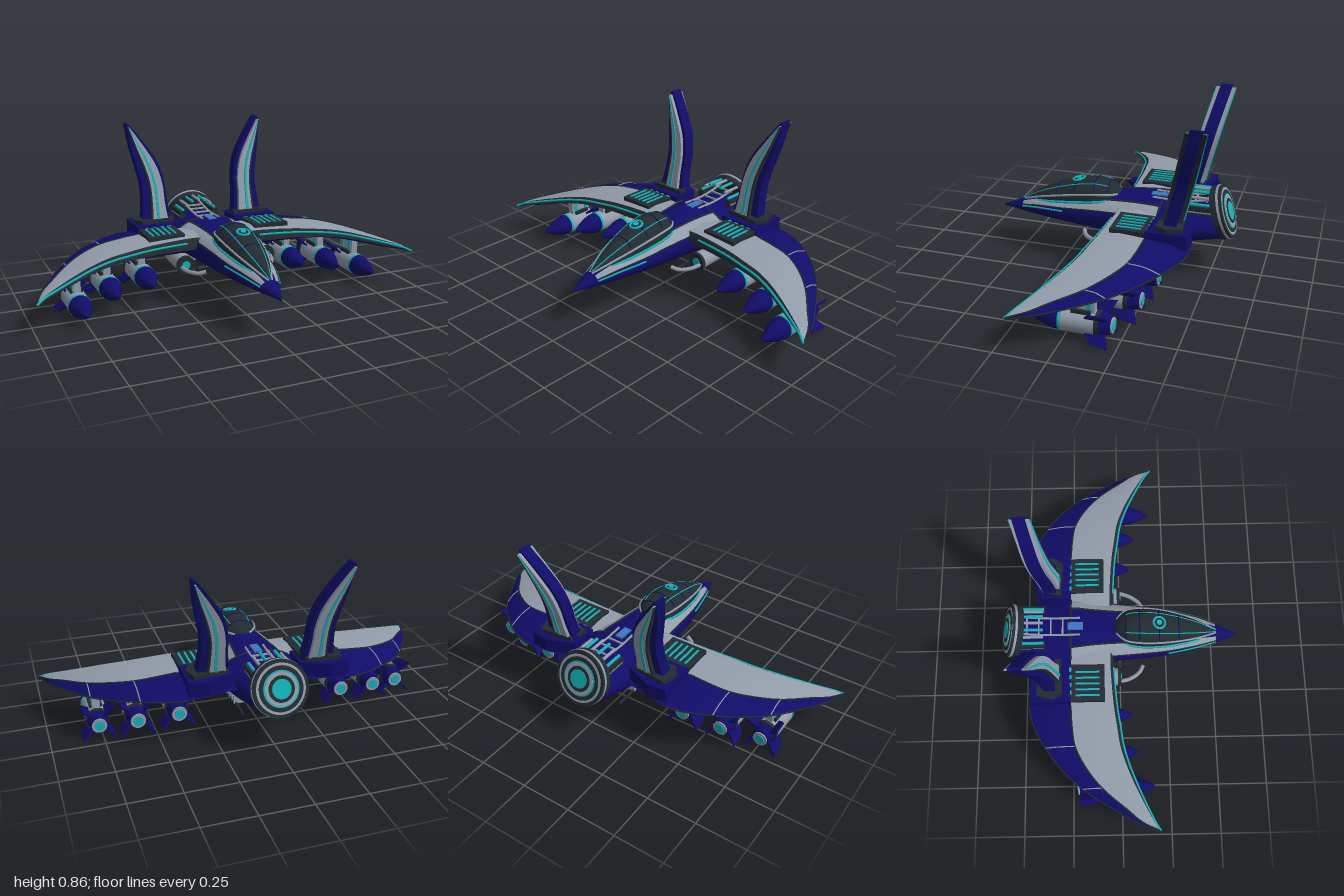
import * as THREE from 'three';
import { mergeVertices } from 'three/addons/utils/BufferGeometryUtils.js';

const V = (x, y, z) => new THREE.Vector3(x, y, z);
const mat = (name, color, side = THREE.FrontSide) => {
  const m = new THREE.MeshStandardMaterial({ color, side });
  m.name = name;
  return m;
};
const K = 4; // rings sampled per control section

// Smooth control sections lengthwise
function smooth(sections) {
  const curves = sections[0].map((_, j) => new THREE.CatmullRomCurve3(sections.map(s => s[j])));
  const n = (sections.length - 1) * K;
  return Array.from({ length: n + 1 }, (_, i) => curves.map(c => c.getPoint(i / n)));
}

// Skin over sections i0..i1 and columns j0..j1
function loft(rings, i0, i1, j0, j1) {
  const pos = [], idx = [], w = j1 - j0 + 1;
  for (let i = i0 * K; i <= i1 * K; i++) {
    for (let j = j0; j <= j1; j++) pos.push(...rings[i][j].toArray());
  }
  for (let i = 0; i < (i1 - i0) * K; i++) {
    for (let j = 0; j < w - 1; j++) {
      const a = i * w + j, b = a + w;
      idx.push(a, b, a + 1, b, b + 1, a + 1);
    }
  }
  const g = new THREE.BufferGeometry();
  g.setAttribute('position', new THREE.Float32BufferAttribute(pos, 3));
  g.setIndex(idx);
  g.computeVertexNormals();
  return g;
}

const tube = (pts, r, n = 36) => new THREE.TubeGeometry(new THREE.CatmullRomCurve3(pts), n, r, 6);
const along = (rings, j, i0, i1, r) => tube(rings.slice(i0 * K, i1 * K + 1).map(s => s[j]), r);
const box = (x, y, z, w, h, d) => new THREE.BoxGeometry(w, h, d).translate(x, y, z);
const rod = (x, y, z0, z1, r0, r1 = r0, n = 20) =>
  new THREE.CylinderGeometry(r1, r0, z1 - z0, n).rotateX(Math.PI / 2).translate(x, y, (z0 + z1) / 2);

// Oval section with separate upper and lower heights; column 0 is the keel, 16 the crest
const oval = ([z, w, yB, yE, yT]) => Array.from({ length: 33 }, (_, j) => {
  const a = j / 16 * Math.PI, c = Math.cos(a);
  return V(w * Math.sin(a), yE - c * (c > 0 ? yE - yB : yT - yE), z);
});

export function createModel() {
  const root = new THREE.Group();
  root.name = 'jet';
  const navy = mat('navy', 0x110c68), grey = mat('grey', 0x929ca9), dark = mat('dark', 0x222b30);
  const cyan = mat('cyan', 0x12b2ba), blue = mat('blue', 0x3f74c0);

  const add = (name, geo, m) => {
    const mesh = new THREE.Mesh(geo, m);
    mesh.name = name;
    root.add(mesh);
  };
  // Left part plus its mirrored twin
  const pair = (name, geo, m) => {
    add(name + 'Left', geo, m);
    const g = mergeVertices(geo.clone()).scale(-1, 1, 1), a = g.index.array;
    for (let i = 0; i < a.length; i += 3) [a[i], a[i + 1]] = [a[i + 1], a[i]];
    add(name + 'Right', g, m);
  };

  // Fuselage
  const body = smooth([
    [.62, .001, .2, .204, .208], [.5, .05, .19, .225, .26], [.4, .085, .183, .24, .295],
    [.25, .12, .172, .25, .325], [.1, .14, .16, .26, .35], [-.05, .155, .15, .265, .365],
    [-.15, .17, .147, .27, .37], [-.25, .19, .15, .27, .37], [-.35, .18, .158, .265, .352],
    [-.45, .15, .175, .262, .345], [-.555, .122, .195, .262, .335]].map(oval));
  add('nose', loft(body, 0, 1, 0, 32), navy);
  add('bellyRight', loft(body, 1, 7, 22, 32), navy);
  add('bellyLeft', loft(body, 1, 7, 0, 10), navy);
  add('spine', loft(body, 1, 7, 13, 19), navy);
  add('shoulderLeft', loft(body, 1, 7, 10, 13), grey);
  add('shoulderRight', loft(body, 1, 7, 19, 22), grey);
  add('rearFuselage', loft(body, 7, 10, 0, 32), navy);
  pair('shoulderSeam', along(body, 10, 1, 7, .004), dark);
  pair('spineSeam', along(body, 13, 4, 7, .005), dark);
  pair('noseStripe', along(body, 9, 1, 3, .005), cyan);
  add('shoulderRearSeam', tube(body[7 * K].slice(10, 23), .005), dark);

  // Canopy
  const glass = smooth([
    [.5, .008, .24, .25, .268], [.4, .052, .25, .277, .33], [.3, .08, .27, .295, .375],
    [.2, .097, .28, .312, .408], [.1, .1, .29, .325, .424], [.03, .085, .3, .335, .412],
    [-.015, .04, .3, .345, .38], [-.03, .003, .3, .35, .36]].map(oval));
  add('canopy', loft(glass, 0, 7, 0, 32), dark);
  pair('canopyRim', along(glass, 8, 0, 6, .007), cyan);
  pair('canopyFrame', along(glass, 10, 0, 6, .006), grey);
  pair('canopyStripe', along(glass, 13, 0, 5, .003), cyan);
  for (const i of [2, 3, 4, 5]) add('canopyRib', tube(glass[i * K].slice(11, 22), .003), navy);
  add('canopyRing', new THREE.TorusGeometry(.03, .006, 8, 28).rotateX(-1.33).translate(0, .406, .2), cyan);
  add('canopyHub', new THREE.CylinderGeometry(.014, .014, .01, 16).rotateX(.24).translate(0, .408, .2), cyan);

  // Wings: x, leading, colour break, trailing, top height, thickness
  const wing = smooth([
    [.12, -.03, -.25, -.42, .325, .09], [.2, -.03, -.25, -.43, .325, .085], [.4, -.015, -.25, -.46, .315, .07],
    [.5, 0, -.245, -.435, .305, .06], [.6, .015, -.23, -.38, .293, .055], [.7, .045, -.18, -.305, .275, .05],
    [.8, .085, -.1, -.195, .25, .045], [.9, .13, .02, -.04, .222, .035],
    [.96, .16, .095, .065, .202, .02], [1, .185, .183, .18, .18, .008],
  ].map(([x, l, d, t, y, h]) => [
    V(x, y - h * .65, l), V(x, y - h * .25, l - (l - d) * .02), V(x, y, l - (l - d) * .09),
    V(x, y + h * .12, (l + d) / 2), V(x, y, d), V(x, y - h * .12, (d + t) / 2), V(x, y - h * .6, t),
    V(x, y - h * .95, (d + t) / 2), V(x, y - h, l - (l - d) * .25), V(x, y - h * .65, l)]));
  pair('wingLeadingEdge', loft(wing, 0, 9, 0, 2), dark);
  pair('wingFrontPanel', loft(wing, 0, 9, 2, 4), grey);
  pair('wingRearPanel', loft(wing, 0, 9, 4, 6), navy);
  pair('wingUnderside', loft(wing, 0, 9, 6, 9), navy);
  pair('wingStripe', along(wing, 1, 1, 9, .006), cyan);
  pair('wingBreakSeam', along(wing, 4, 2, 9, .004), dark);
  pair('wingTrailingSeam', along(wing, 6, 2, 9, .004), dark);
  for (const i of [4, 6]) pair('wingCrossSeam', tube(wing[i * K].slice(4, 7), .003, 10), grey);

  // Slatted vents at the wing roots
  pair('vent', box(.29, .322, -.165, .19, .04, .17), dark);
  for (let i = 0; i < 5; i++) pair('ventSlat', box(.235 + i * .03, .343, -.165, .009, .008, .12), cyan);

  // Flat outline in x,z raised from y0 to y1
  const slab = (pts, y0, y1) => new THREE.ExtrudeGeometry(
    new THREE.Shape(pts.map(([x, z]) => new THREE.Vector2(x, -z))), { depth: y1 - y0, bevelEnabled: false })
    .rotateX(-Math.PI / 2).translate(0, y0, 0);
  pair('finMount', slab([[.16, -.26], [.39, -.25], [.39, -.445], [.3, -.455], [.16, -.4]], .28, .35), navy);
  pair('finSocket', slab([[.17, -.3], [.35, -.29], [.38, -.34], [.36, -.42], [.19, -.4]], .34, .37), dark);
  for (let i = 0; i < 4; i++) pair('mountLight', box(.22 + i * .04, .338, -.252, .02, .01, .012), cyan);

  // Swept, curved tail fins: height, inner x, outer x
  const rows = [[.35, .18, .34], [.45, .195, .325], [.55, .2, .325], [.65, .225, .345], [.75, .285, .365], [.855, .362, .376]];
  const lean = new THREE.Matrix4().set(1, 0, 0, 0, 0, 1, 0, 0, 0, -.24, 1, .24 * .37, 0, 0, 0, 1);
  const finLayer = (f0, f1, zMid, thick) => {
    const edge = f => new THREE.SplineCurve(rows.map(([y, a, b]) =>
      new THREE.Vector2(a + (b - a) * f, f0 > 0 ? .35 + (y - .35) * .97 : y))).getPoints(24);
    const shape = new THREE.Shape([...edge(f1), ...edge(f0).reverse()]);
    return new THREE.ExtrudeGeometry(shape, { depth: thick, bevelEnabled: false })
      .translate(0, 0, zMid - thick / 2).applyMatrix4(lean);
  };
  pair('fin', finLayer(0, 1, -.355, .06), navy);
  pair('finPanel', finLayer(.14, .68, -.355, .096), grey);
  pair('finTrim', finLayer(.66, .73, -.355, .1), dark);
  pair('finStripe', finLayer(.42, .52, -.355, .106), cyan);

  // Tilted exhaust built of concentric rings
  const disc = (r, depth, out) => new THREE.CylinderGeometry(r, r, depth, 40)
    .translate(0, out - depth / 2, 0).rotateX(-1.249).translate(0, .327, -.572);
  add('exhaustShell', disc(.134, .055, 0), dark);
  add('exhaustCollar', disc(.136, .012, -.012), grey);
  [[.118, grey], [.106, dark], [.086, cyan], [.079, grey], [.062, dark], [.046, cyan]]
    .forEach(([r, m], i) => add('exhaustRing', disc(r, .01, .002 + i * .002), m));

  // Pipes feeding the exhaust
  for (let i = 0; i < 9; i++) {
    const a = (i + .5) / 9 * Math.PI;
    add('pipe', rod(Math.cos(a) * .105, .33 + Math.sin(a) * .1, -.53, -.385, .008, .008, 8), i % 2 ? cyan : grey);
  }
  pair('pipeBracket', box(.095, .355, -.44, .03, .04, .12), dark);
  pair('ladderRail', tube([V(.045, .372, -.2), V(.045, .368, -.3), V(.045, .375, -.4), V(.045, .4, -.52)], .006), grey);
  for (let i = 0; i < 4; i++) add('ladderRung', box(0, .366 + i * .004, -.29 - i * .06, .09, .008, .008), grey);
  add('dorsalHatch', box(0, .37, -.225, .04, .012, .08), blue);

  // Underside pods, struts, guns and cooling ribs
  pair('pod', rod(.222, .205, -.2, -.01, .04, .045), grey);
  pair('podLip', rod(.222, .205, -.012, .004, .047), dark);
  pair('podLens', rod(.222, .205, 0, .007, .022), cyan);
  pair('strut', tube([V(.16, .2, .12), V(.195, .19, .1), V(.23, .19, .05), V(.25, .2, -.03)], .011), grey);
  pair('gun', rod(.14, .16, -.46, .06, .007, .007, 8), dark);
  for (let i = 0; i < 5; i++) pair('coolingRib', box(.11, .178, -.2 - i * .035, .08, .04, .016), grey);

  // Bombs with pylons: x, y, nose z, wing height
  const noseShape = [[.055, -.15], [.053, -.12], [.044, -.085], [.028, -.045], [.012, -.012], [0, 0]];
  const bladeShape = new THREE.Shape([[.04, -.26], [.1, -.3], [.111, -.385], [.04, -.36]].map(p => new THREE.Vector2(...p)));
  for (const [x, y, z, top] of [[.41, .14, .06, .27], [.6, .12, .09, .255], [.77, .08, .17, .23]]) {
    const nose = new THREE.LatheGeometry(noseShape.map(p => new THREE.Vector2(...p)), 24);
    pair('bombNose', nose.rotateX(Math.PI / 2).translate(x, y, z), navy);
    pair('bombBand', rod(x, y, z - .163, z - .149, .0565), cyan);
    pair('bombBody', rod(x, y, z - .32, z - .16, .055), grey);
    pair('bombCollar', rod(x, y, z - .335, z - .315, .0565), dark);
    pair('bombTail', rod(x, y, z - .385, z - .33, .042, .052), navy);
    pair('bombTailRing', rod(x, y, z - .392, z - .38, .036), grey);
    pair('bombTailLight', rod(x, y, z - .396, z - .386, .024), cyan);
    for (let k = 0; k < 4; k++) {
      const blade = new THREE.ExtrudeGeometry(bladeShape, { depth: .01, bevelEnabled: false });
      blade.translate(0, 0, -.005).rotateY(Math.PI / 4 + k * Math.PI / 2).rotateX(Math.PI / 2);
      pair('bombFin', blade.translate(x, y, z), navy);
    }
    const low = y + .045, zp = z - .25;
    pair('pylon', box(x, (low + top) / 2, zp, .035, top - low, .12), grey);
    pair('pylonClamp', box(x, low + .012, zp, .06, .02, .09), dark);
    for (const s of [-.035, .035]) pair('pylonLight', box(x, (low + top) / 2, zp + s, .042, top - low - .02, .02), cyan);
  }
  return root;
}
